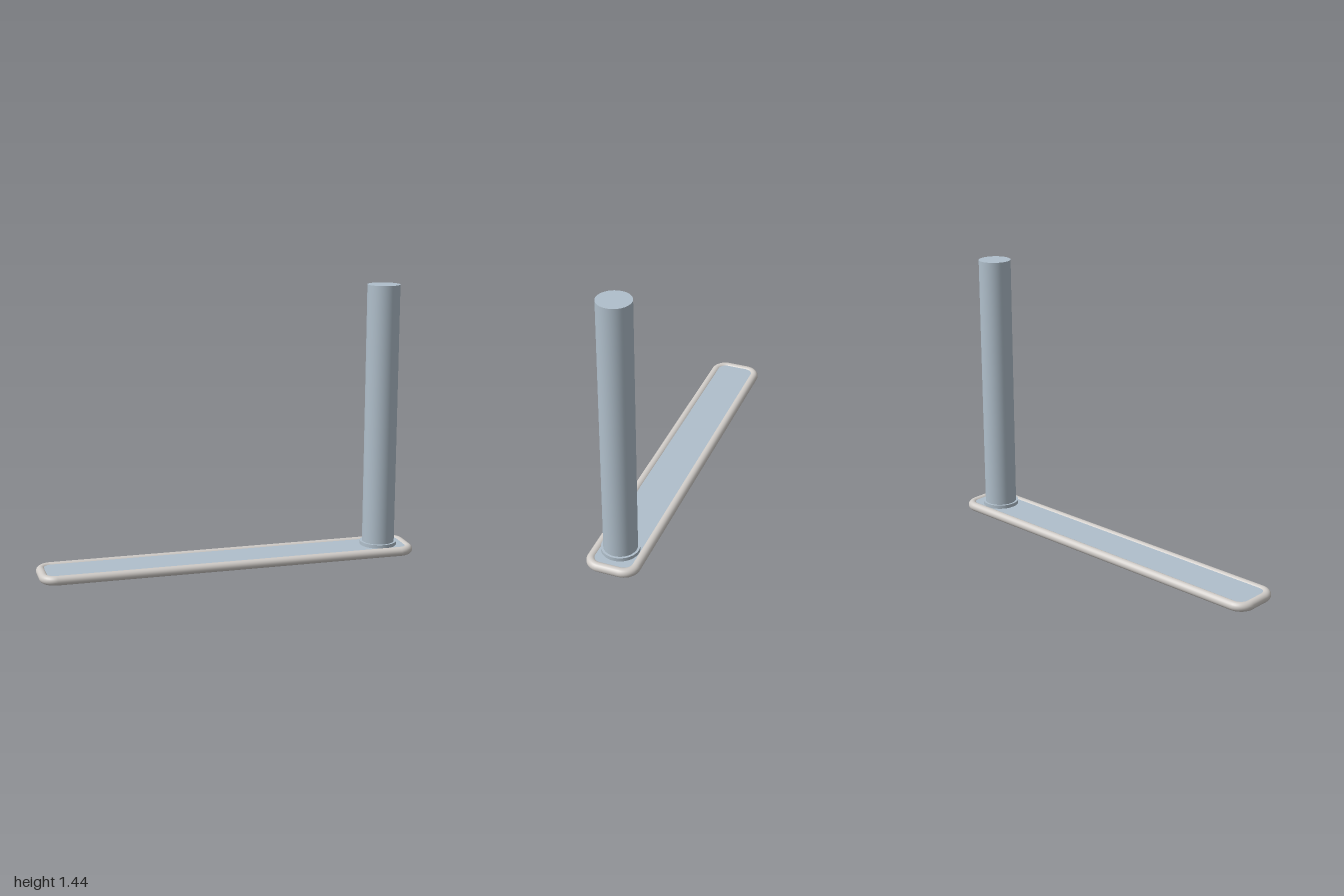
import * as THREE from 'three';

const HX = 0.976, HZ = 0.115, R = 0.06, TUBE = 0.024; // rim centre line and tube radius
const POST_X = 0.83, PLATE_TOP = 0.041;

const blueGrey = new THREE.MeshStandardMaterial({ color: 0xb0bfcb });
blueGrey.name = 'blue grey';
const warmGrey = new THREE.MeshStandardMaterial({ color: 0xcfcbc7 });
warmGrey.name = 'warm light grey';

function addMesh(group, name, geometry, material, x = 0, y = 0, z = 0) {
  const mesh = new THREE.Mesh(geometry, material);
  mesh.name = name;
  mesh.position.set(x, y, z);
  group.add(mesh);
}

// Closed rounded rectangle in the ground plane
function rimPath() {
  const path = new THREE.CurvePath();
  const v = (x, z) => new THREE.Vector3(x, 0, z);
  const k = R * 0.4477; // control point distance from the corner for a circular arc
  const corners = [[1, 1], [1, -1], [-1, -1], [-1, 1]];
  const ends = corners.map(([sx, sz], i) => {
    const x = sx * HX, z = sz * HZ;
    const alongX = [v(x - sx * R, z), v(x - sx * k, z)];
    const alongZ = [v(x, z - sz * R), v(x, z - sz * k)];
    return i % 2 ? [alongZ, alongX] : [alongX, alongZ];
  });
  ends.forEach(([a, b], i) => {
    path.add(new THREE.CubicBezierCurve3(a[0], a[1], b[1], b[0]));
    path.add(new THREE.LineCurve3(b[0], ends[(i + 1) % 4][0][0]));
  });
  return path;
}

// Thin rounded plate reaching into the rim tube
function plateGeometry() {
  const s = new THREE.Shape();
  s.absarc(HX - R, HZ - R, R, 0, Math.PI / 2);
  s.absarc(-HX + R, HZ - R, R, Math.PI / 2, Math.PI);
  s.absarc(-HX + R, -HZ + R, R, Math.PI, Math.PI * 1.5);
  s.absarc(HX - R, -HZ + R, R, Math.PI * 1.5, Math.PI * 2);
  const g = new THREE.ExtrudeGeometry(s, { depth: 0.008, bevelEnabled: false, curveSegments: 12 });
  return g.rotateX(-Math.PI / 2);
}

export function createModel() {
  const model = new THREE.Group();
  model.name = 'post on tray';

  addMesh(model, 'rim', new THREE.TubeGeometry(rimPath(), 400, TUBE, 20, true), warmGrey, 0, TUBE);
  addMesh(model, 'basePlate', plateGeometry(), blueGrey, 0, PLATE_TOP - 0.008);

  // Post and the collar at its foot
  const top = 1.436, collarTop = 0.06;
  addMesh(model, 'post', new THREE.CylinderGeometry(0.085, 0.085, top - PLATE_TOP, 64),
    blueGrey, POST_X, (top + PLATE_TOP) / 2);
  addMesh(model, 'collar', new THREE.CylinderGeometry(0.097, 0.097, collarTop - PLATE_TOP, 64),
    blueGrey, POST_X, (collarTop + PLATE_TOP) / 2);

  return model;
}
